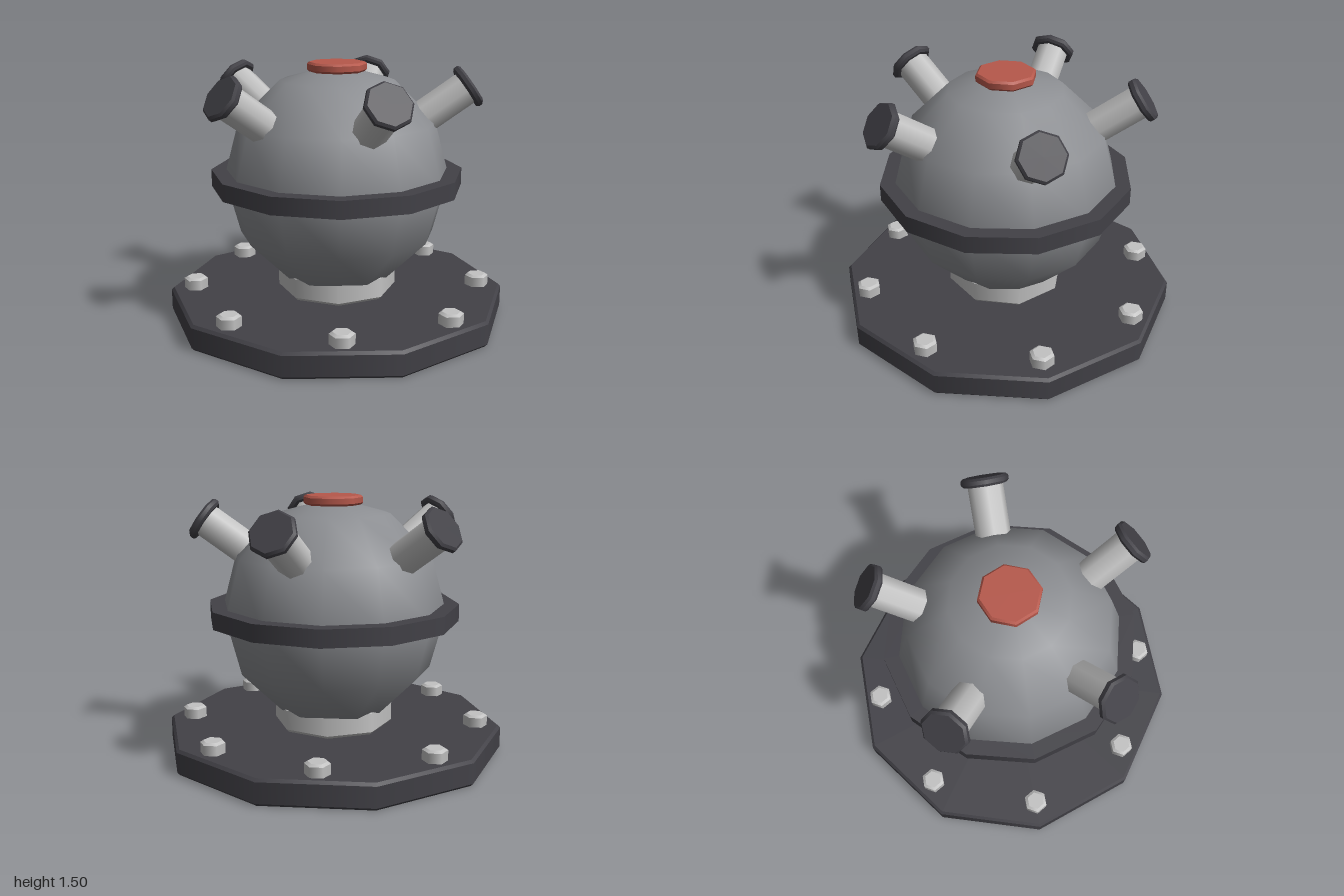
import * as THREE from 'three';
import { mergeGeometries } from 'three/addons/utils/BufferGeometryUtils.js';

const paint = (name, color) => {
  const m = new THREE.MeshStandardMaterial({ color });
  m.name = name;
  return m;
};

// Turned solid: round around the axis, sharp between profile bands
function turned(profile, sides) {
  const bands = [];
  for (let i = 0; i < profile.length - 1; i++) {
    bands.push(new THREE.LatheGeometry(
      [profile[i], profile[i + 1]].map(([r, y]) => new THREE.Vector2(r, y)), sides));
  }
  return mergeGeometries(bands);
}

// Disc from y0 to y1 with chamfered rims
function chamferedDisc(r, y0, y1, c, sides) {
  return turned([[0, y0], [r - c, y0], [r, y0 + c], [r, y1 - c], [r - c, y1], [0, y1]], sides);
}

export function createModel() {
  const model = new THREE.Group();
  model.name = 'portedSphere';
  const dark = paint('darkMetal', 0x424147);
  const grey = paint('midGrey', 0x8c8e92);
  const light = paint('lightMetal', 0xc2c2c2);
  const red = paint('red', 0xb6584b);

  const add = (name, geometry, material, parent = model) => {
    const mesh = new THREE.Mesh(geometry, material);
    mesh.name = name;
    parent.add(mesh);
    return mesh;
  };

  // Ten-sided base plate, corners on the x axis
  add('basePlate', chamferedDisc(1, 0, 0.15, 0.016, 10), dark).rotation.y = Math.PI / 2;

  // Neck, sphere, belt and top cap
  add('neck', chamferedDisc(0.35, 0.15, 0.3, 0.018, 8), light);
  add('sphere', new THREE.SphereGeometry(0.66, 12, 6), grey).position.y = 0.83;
  add('belt', turned([[0.6, 0.78], [0.735, 0.78], [0.735, 0.88], [0.6, 0.88]], 12), dark);
  add('topCap', chamferedDisc(0.172, 1.45, 1.505, 0.012, 8), red);

  // Eight hex bolts around the plate
  const boltShape = turned([[0.07, 0.15], [0.07, 0.208], [0.052, 0.22], [0, 0.22]], 6);
  for (let i = 0; i < 8; i++) {
    const a = i * Math.PI / 4;
    const bolt = add('bolt', boltShape, light);
    bolt.position.set(0.85 * Math.cos(a), 0, 0.85 * Math.sin(a));
    bolt.rotation.y = Math.PI / 2;
  }

  // Five ports angled up from the sphere centre, each with a closed flange
  const tubeShape = turned([[0.1, 0.5], [0.1, 0.92]], 8);
  const flangeShape = chamferedDisc(0.135, 0.9, 0.948, 0.013, 8);
  for (let i = 0; i < 5; i++) {
    const port = new THREE.Group();
    port.name = 'port';
    port.position.y = 0.83;
    port.rotation.y = i * Math.PI * 2 / 5;
    model.add(port);
    const tilt = -THREE.MathUtils.degToRad(55);
    add('portTube', tubeShape, light, port).rotation.z = tilt;
    add('portFlange', flangeShape, dark, port).rotation.z = tilt;
  }
  return model;
}
